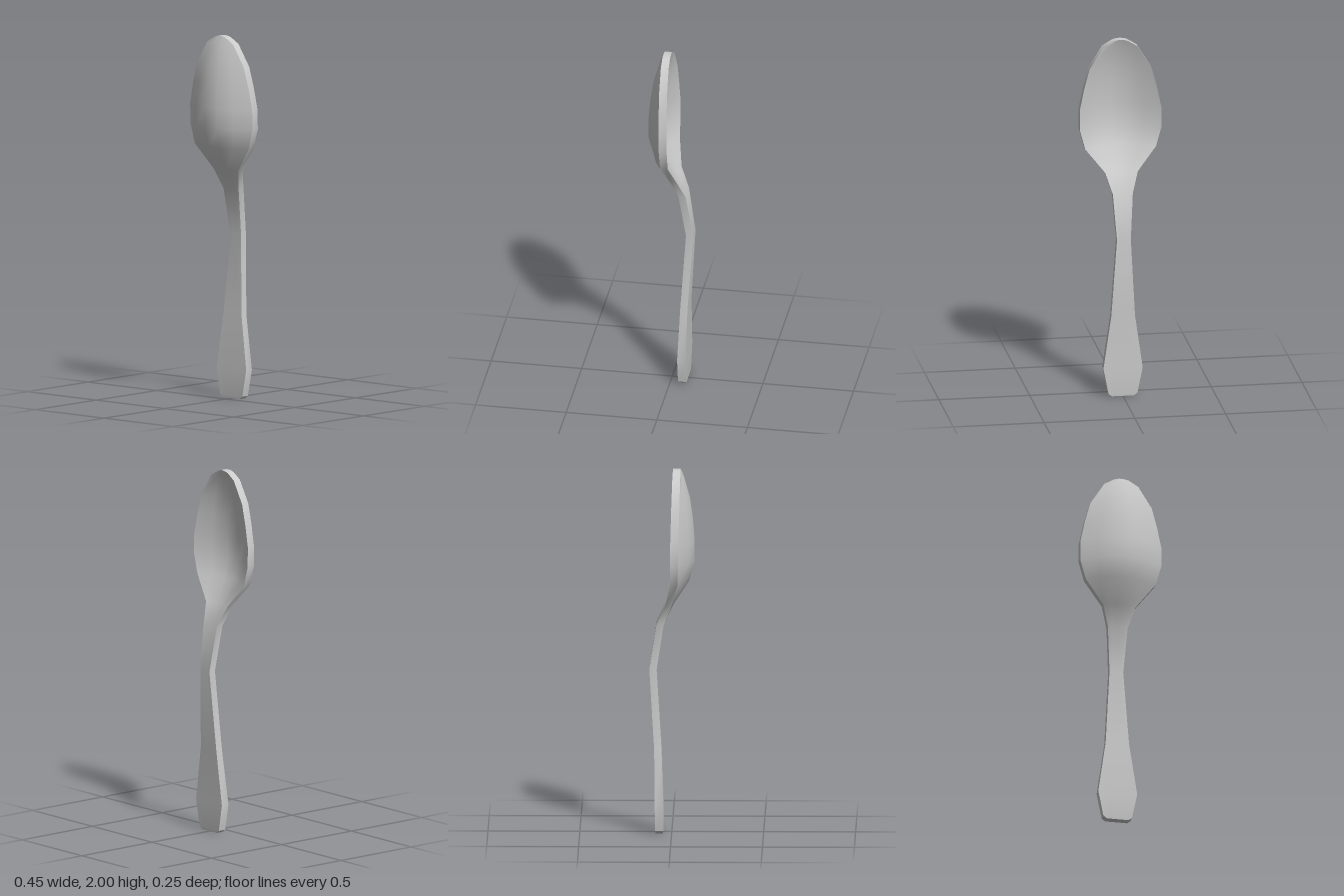
import * as THREE from 'three';
import { toCreasedNormals } from 'three/addons/utils/BufferGeometryUtils.js';

// Cross-sections from handle end to bowl tip:
// [height, half width, rim front z, rim back z, bowl depth]
const SECTIONS = [
  [0.0, 0.06, -0.047, -0.088, 0],
  [0.015, 0.08, -0.045, -0.09, 0],
  [0.16, 0.108, -0.045, -0.092, 0],
  [0.46, 0.065, -0.055, -0.095, 0],
  [0.9, 0.038, -0.082, -0.122, 0],
  [1.15, 0.055, -0.043, -0.083, 0],
  [1.26, 0.09, 0.0, -0.036, 0.012],
  [1.39, 0.195, 0.034, -0.008, 0.061],
  [1.5, 0.225, 0.036, -0.008, 0.088],
  [1.61, 0.225, 0.038, -0.006, 0.086],
  [1.73, 0.2, 0.041, -0.003, 0.073],
  [1.84, 0.17, 0.044, 0.0, 0.054],
  [1.96, 0.095, 0.047, 0.004, 0.018],
  [2.0, 0.042, 0.048, 0.006, 0],
];

// Columns across the width, with the share of the bowl depth at each
const COLUMNS = [[-1, 0], [-0.6, 0.62], [-0.2, 1], [0.2, 1], [0.6, 0.62], [1, 0]];

function spoonGeometry() {
  const positions = [];
  const indices = [];
  const rows = SECTIONS.length;
  const n = COLUMNS.length;
  const ring = 2 * n;

  // Each ring runs along the front left to right, then returns along the back
  SECTIONS.forEach(([y, w, front, back, depth], i) => {
    const drop = i === rows - 1 ? 0.008 : 0; // rounds the tip
    const add = ([f, d], z) => positions.push(f * w, y - drop * f * f, z + d * depth);
    COLUMNS.forEach((c) => add(c, front));
    [...COLUMNS].reverse().forEach((c) => add(c, back));
  });

  // Skin between neighbouring rings
  for (let i = 0; i < rows - 1; i++) {
    for (let j = 0; j < ring; j++) {
      const a = i * ring + j;
      const b = i * ring + ((j + 1) % ring);
      indices.push(a, b, b + ring, a, b + ring, a + ring);
    }
  }

  // Caps at the handle end and the bowl tip
  const top = (rows - 1) * ring;
  for (let j = 0; j < n - 1; j++) {
    const k = ring - 1 - j;
    indices.push(j, k, k - 1, j, k - 1, j + 1);
    indices.push(top + j, top + j + 1, top + k - 1, top + j, top + k - 1, top + k);
  }

  const geometry = new THREE.BufferGeometry();
  geometry.setAttribute('position', new THREE.Float32BufferAttribute(positions, 3));
  geometry.setIndex(indices);
  return toCreasedNormals(geometry, 0.72);
}

export function createModel() {
  const group = new THREE.Group();
  group.name = 'spoon';
  const material = new THREE.MeshStandardMaterial({ color: 0xcccccc });
  const body = new THREE.Mesh(spoonGeometry(), material);
  body.name = 'bowlAndHandle';
  group.add(body);
  return group;
}
